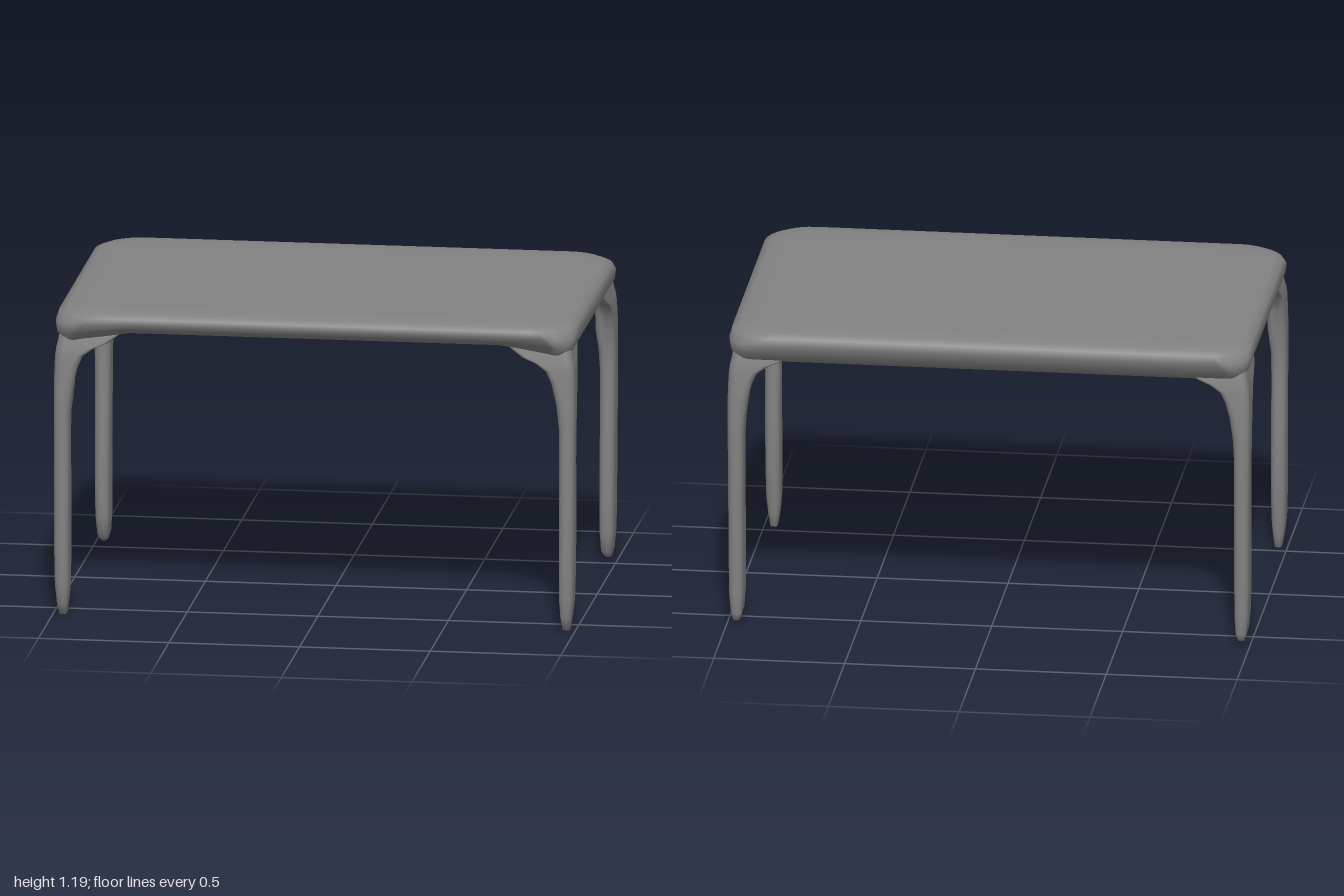
import * as THREE from 'three';

const material = new THREE.MeshStandardMaterial({ color: 0x828282 });
const { smoothstep } = THREE.MathUtils;

// Rounded rectangle in the xz plane: arc points at each corner, then points along the next edge
function section(y, x0, x1, z0, z1, radius, arc = 8, edge = 10) {
  const r = Math.min(radius, (x1 - x0) / 2 - 0.001, (z1 - z0) / 2 - 0.001);
  const centres = [[x1 - r, z1 - r], [x0 + r, z1 - r], [x0 + r, z0 + r], [x1 - r, z0 + r]];
  const onArc = (quarter, t) => {
    const [cx, cz] = centres[quarter % 4];
    const a = (quarter + t) * Math.PI / 2;
    return new THREE.Vector3(cx + r * Math.cos(a), y, cz + r * Math.sin(a));
  };
  const points = [];
  for (let q = 0; q < 4; q++) {
    for (let i = 0; i < arc; i++) points.push(onArc(q, i / (arc - 1)));
    for (let i = 1; i < edge; i++) points.push(onArc(q, 1).lerp(onArc(q + 1, 0), i / edge));
  }
  return points;
}

// Skin over sections in order, closed at both ends (first end faces down, last end faces up)
function loft(name, sections) {
  const n = sections[0].length;
  const positions = [], index = [];
  sections.forEach(s => s.forEach(p => positions.push(p.x, p.y, p.z)));
  for (let k = 0; k < sections.length - 1; k++) {
    for (let i = 0; i < n; i++) {
      const a = k * n + i, b = k * n + (i + 1) % n;
      index.push(a, a + n, b, b, a + n, b + n);
    }
  }
  const cap = (s, start, up) => {
    const c = s.reduce((sum, p) => sum.add(p), new THREE.Vector3()).divideScalar(n);
    const centre = positions.length / 3;
    positions.push(c.x, c.y, c.z);
    for (let i = 0; i < n; i++) {
      const a = start + i, b = start + (i + 1) % n;
      if (up) index.push(centre, b, a);
      else index.push(centre, a, b);
    }
  };
  cap(sections[0], 0, false);
  cap(sections[sections.length - 1], (sections.length - 1) * n, true);
  const geometry = new THREE.BufferGeometry();
  geometry.setAttribute('position', new THREE.Float32BufferAttribute(positions, 3));
  geometry.setIndex(index);
  geometry.computeVertexNormals();
  const mesh = new THREE.Mesh(geometry, material);
  mesh.name = name;
  return mesh;
}

// Soft slab with a shallow recess below, from the recess out over the rim to the top:
// height, drop at the ends and back, half width, half depth, corner radius
const TOP = [
  [1.12, 0, 0.70, 0.40, 0.1], [1.12, 0, 0.82, 0.47, 0.1], [1.117, 0.015, 0.87, 0.52, 0.1],
  [1.108, 0.04, 0.925, 0.565, 0.08], [1.103, 0.044, 0.952, 0.59, 0.07], [1.107, 0.037, 0.975, 0.608, 0.07],
  [1.124, 0.026, 0.99, 0.632, 0.08], [1.147, 0.01, 0.998, 0.652, 0.12], [1.168, 0, 0.99, 0.647, 0.16],
  [1.182, 0, 0.96, 0.622, 0.15], [1.189, 0, 0.9, 0.57, 0.12], [1.191, 0, 0.84, 0.5, 0.1],
];

function slab() {
  return loft('tableTop', TOP.map(([y, drop, hx, hz, r]) => {
    const points = section(y, -hx, hx, -hz, hz, r);
    points.forEach(p => {
      p.y -= drop * Math.max(smoothstep(Math.abs(p.x) / hx, 0.84, 0.97), smoothstep(-p.z / hz, 0.5, 0.9));
    });
    return points;
  }));
}

// Legs: height, inner x, outer x, inner z, outer z
const FRONT_LEG = [
  [0, 0.95, 0.977, 0.54, 0.6], [0.05, 0.943, 0.985, 0.532, 0.623], [0.12, 0.938, 0.992, 0.522, 0.63],
  [0.24, 0.938, 0.994, 0.51, 0.634], [0.43, 0.938, 0.995, 0.507, 0.63], [0.66, 0.938, 0.996, 0.52, 0.626],
  [0.78, 0.937, 0.997, 0.517, 0.624], [0.88, 0.925, 0.998, 0.508, 0.62], [0.96, 0.902, 0.996, 0.484, 0.616],
  [1.01, 0.875, 0.994, 0.462, 0.614], [1.04, 0.83, 0.99, 0.44, 0.61], [1.06, 0.78, 0.985, 0.41, 0.605],
  [1.09, 0.74, 0.98, 0.37, 0.6], [1.13, 0.7, 0.97, 0.34, 0.59],
];
const BACK_LEG = [
  [0.015, 0.952, 0.977, 0.54, 0.6], [0.045, 0.943, 0.985, 0.495, 0.612], [0.12, 0.938, 0.992, 0.485, 0.615],
  [0.25, 0.938, 0.994, 0.481, 0.617], [0.5, 0.938, 0.995, 0.49, 0.623], [0.75, 0.937, 0.997, 0.5, 0.625],
  [0.83, 0.932, 0.998, 0.497, 0.622], [0.91, 0.918, 0.998, 0.484, 0.619], [0.97, 0.898, 0.996, 0.455, 0.616],
  [1.01, 0.875, 0.994, 0.425, 0.612], [1.04, 0.83, 0.99, 0.365, 0.61], [1.06, 0.78, 0.985, 0.32, 0.605],
  [1.09, 0.74, 0.98, 0.3, 0.6], [1.13, 0.7, 0.97, 0.28, 0.59],
];

function leg(name, profile, sx, sz) {
  return loft(name, profile.map(([y, xi, xo, zi, zo]) => {
    const points = section(
      y,
      Math.min(sx * xi, sx * xo), Math.max(sx * xi, sx * xo),
      Math.min(sz * zi, sz * zo), Math.max(sz * zi, sz * zo),
      0.03,
    );
    // Draw the inner corner back so the flare runs out along the two rims
    const pull = 0.6 * smoothstep(y, 0.88, 1.05);
    points.forEach(p => {
      const dx = xo - sx * p.x, dz = zo - sz * p.z;
      const corner = pull * dx / (xo - xi) * dz / (zo - zi);
      p.x += sx * dx * corner;
      p.z += sz * dz * corner;
    });
    return points;
  }));
}

export function createModel() {
  const table = new THREE.Group();
  table.name = 'table';
  table.add(slab());
  for (const [side, sx] of [['Left', 1], ['Right', -1]]) {
    table.add(leg(`front${side}Leg`, FRONT_LEG, sx, 1));
    table.add(leg(`back${side}Leg`, BACK_LEG, sx, -1));
  }
  return table;
}
